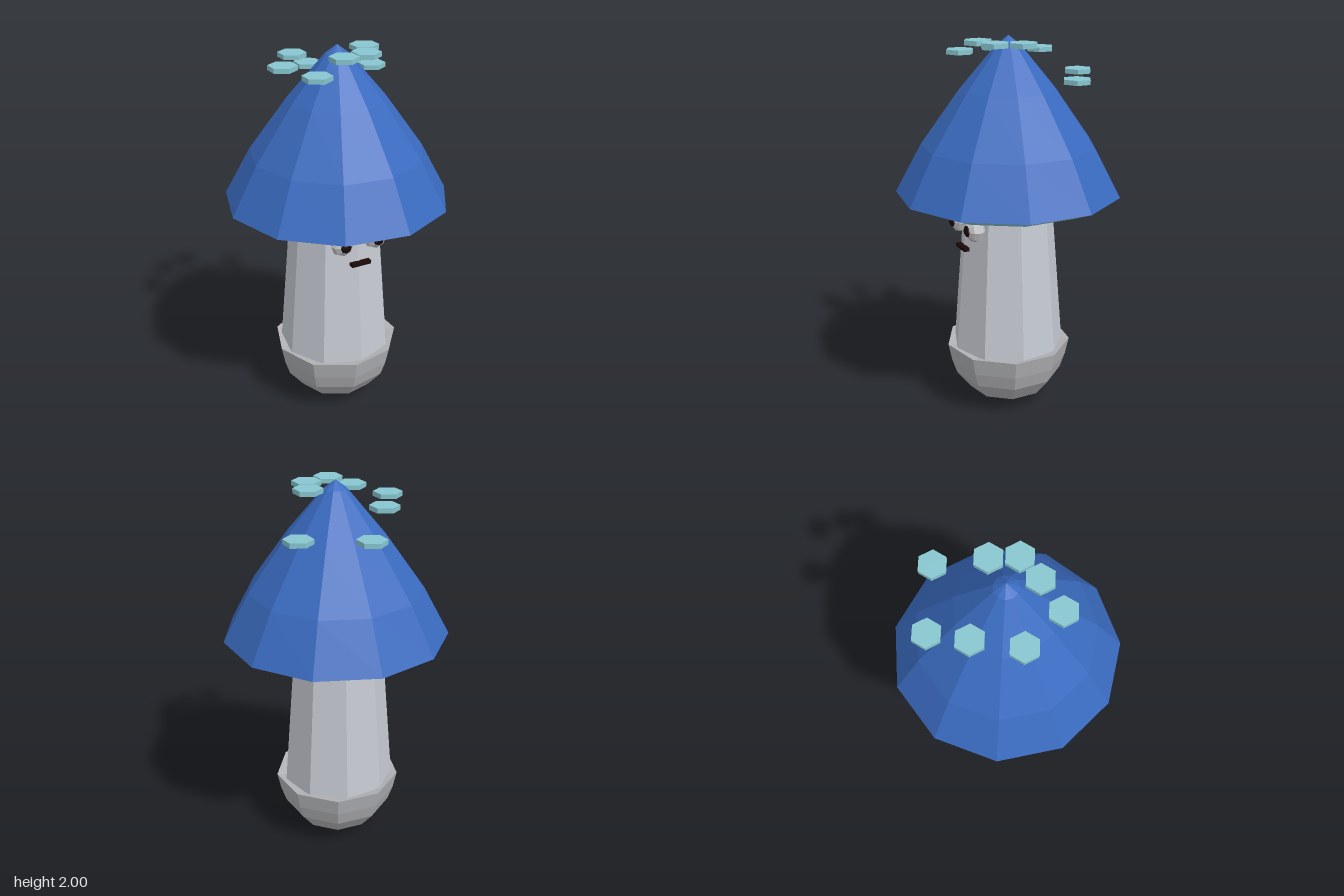
import * as THREE from 'three';

const mat = (name, color) => {
  const m = new THREE.MeshStandardMaterial({ color, flatShading: true });
  m.name = name;
  return m;
};

export function createModel() {
  const capBlue = mat('cap blue', 0x3a6bc0);
  const paleTeal = mat('pale teal', 0x88c6d0);
  const stemGrey = mat('stem grey', 0xc6cad2);
  const footGrey = mat('foot grey', 0xb2b3b6);
  const eyeGrey = mat('eye grey', 0xc4c5c8);
  const dark = mat('dark brown', 0x1a0a08);

  const group = new THREE.Group();
  group.name = 'mushroom';
  const add = (name, geometry, material, x = 0, y = 0, z = 0) => {
    const mesh = new THREE.Mesh(geometry, material);
    mesh.name = name;
    mesh.position.set(x, y, z);
    group.add(mesh);
    return mesh;
  };
  // profile points run from bottom to top so faces point outward
  const lathe = (points, sides, start) =>
    new THREE.LatheGeometry(points.map(p => new THREE.Vector2(...p)), sides, start);

  // Eleven-sided cap with its shallow underside
  const capStart = -Math.PI / 2;
  add('cap', lathe([[0.585, 1.2], [0.45, 1.45], [0.25, 1.73], [0.06, 1.955], [0, 2]], 11, capStart), capBlue, 0.01);
  add('capUnderside', lathe([[0, 1.15], [0.46, 1.15], [0.585, 1.2]], 11, capStart), paleTeal, 0.01);

  // Nine-sided tapering stem
  add('stem', new THREE.CylinderGeometry(0.235, 0.303, 0.85, 9), stemGrey, 0, 0.735, 0);

  // Rounded foot, closed at the top around the stem
  add('foot', lathe([[0, 0.005], [0.11, 0.027], [0.21, 0.08], [0.29, 0.18], [0.317, 0.26],
    [0.337, 0.355], [0.28, 0.345]], 9, -0.16), footGrey, 0.003);

  // Face: faceted eyes with dark pupils and a straight mouth
  for (const [side, x] of [['right', -0.088], ['left', 0.102]]) {
    const eye = add(side + 'Eye', new THREE.SphereGeometry(0.063, 8, 6), eyeGrey, x, 1.042, 0.236);
    eye.rotation.x = Math.PI / 2;
    eye.scale.y = 0.8;
    const pupil = add(side + 'Pupil', new THREE.SphereGeometry(0.033, 8, 6), dark, x, 1.042, 0.275);
    pupil.rotation.x = Math.PI / 2;
    pupil.scale.y = 0.6;
  }
  add('mouth', new THREE.BoxGeometry(0.11, 0.018, 0.03), dark, 0.005, 0.925, 0.263);

  // Hexagonal spots standing off the cap
  const spotGeometry = new THREE.CylinderGeometry(0.074, 0.074, 0.024, 6);
  const spots = [
    [0.165, 1.968, -0.005], [0.105, 1.968, 0.12], [-0.032, 1.968, 0.147],
    [-0.19, 1.906, 0.177], [-0.258, 1.906, -0.053], [-0.115, 1.906, -0.245],
    [0.33, 1.803, -0.21], [0.041, 1.803, -0.385],
  ];
  spots.forEach((p, i) => add('spot' + (i + 1), spotGeometry, paleTeal, ...p));

  return group;
}
